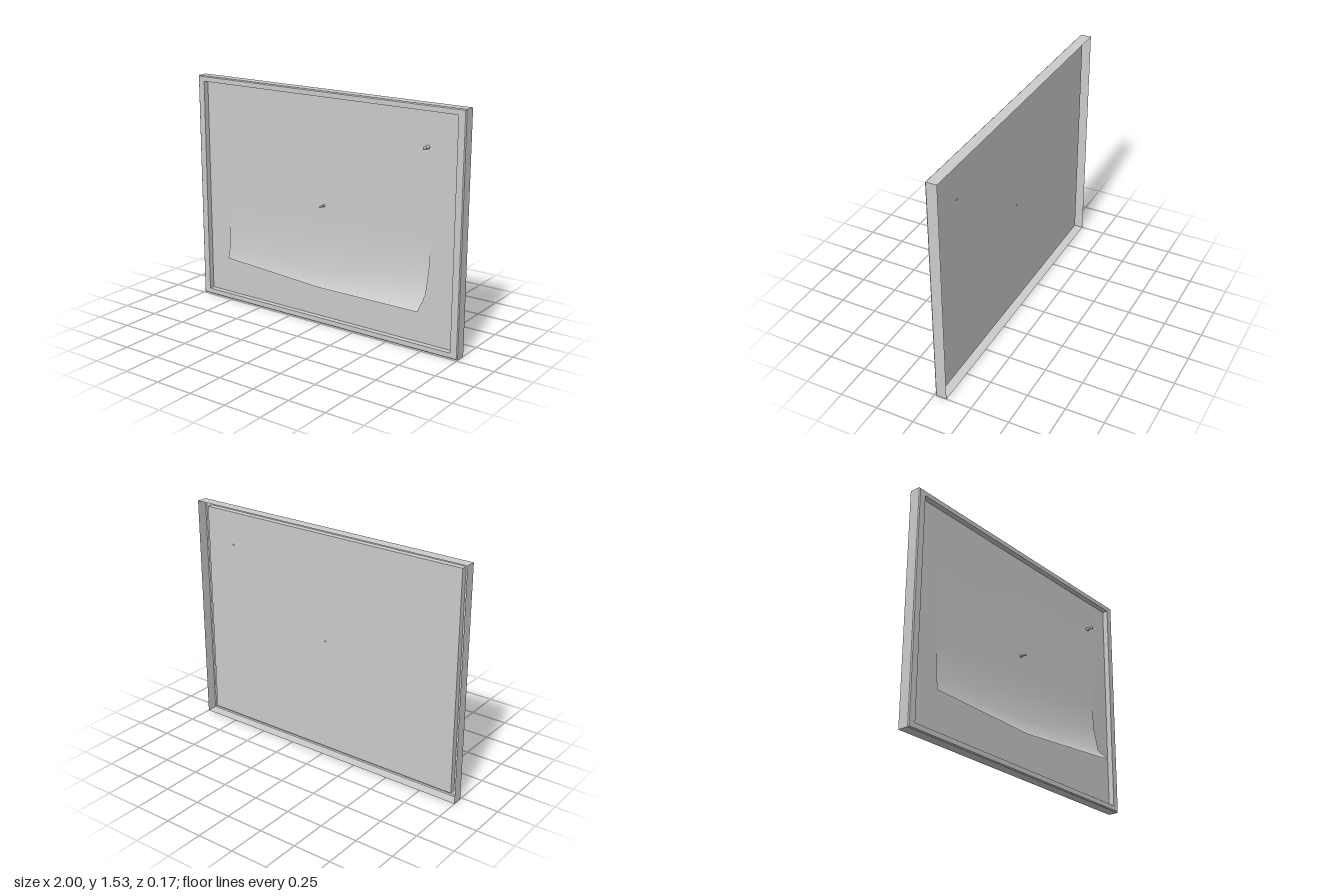
import * as THREE from 'three';

const W = 1, H = 1.526, PANEL_Z = -0.045;

function material() {
  return new THREE.MeshStandardMaterial({ color: 0xcccccc, side: THREE.DoubleSide });
}

// Open-backed shell made of nested rectangles: [inset x, inset y, z]
function rectangleShell(profile) {
  const corners = ([ix, iy, z]) => [
    [-W + ix, iy, z], [W - ix, iy, z], [W - ix, H - iy, z], [-W + ix, H - iy, z],
  ];
  const pos = [];
  for (let i = 0; i < profile.length - 1; i++) {
    const a = corners(profile[i]), b = corners(profile[i + 1]);
    for (let k = 0; k < 4; k++) {
      const n = (k + 1) % 4;
      pos.push(...a[k], ...a[n], ...b[n], ...a[k], ...b[n], ...b[k]);
    }
  }
  const g = new THREE.BufferGeometry();
  g.setAttribute('position', new THREE.Float32BufferAttribute(pos, 3));
  g.computeVertexNormals();
  return g;
}

// Sheet pinned to the panel, its lower edge lifting most at the model's left corner
function sheetGeometry() {
  const columns = [
    { x: [-0.775, -0.775, -0.775, -0.777, -0.78], y: [1.318, 0.72, 0.54, 0.38, 0.29], lift: [0, 0, 0.003, 0.013, 0.029] },
    { x: [0, 0, 0, 0, 0], y: [1.318, 0.72, 0.53, 0.36, 0.253], lift: [0, 0, 0.005, 0.024, 0.054] },
    { x: [0.778, 0.778, 0.778, 0.775, 0.77], y: [1.318, 0.72, 0.535, 0.372, 0.288], lift: [0, 0, 0.01, 0.042, 0.125] },
  ];
  const g = new THREE.PlaneGeometry(1, 1, 2, 4);
  const p = g.attributes.position;
  for (let row = 0; row < 5; row++) {
    columns.forEach((c, col) => {
      p.setXYZ(row * 3 + col, c.x[row], c.y[row], PANEL_Z + 0.003 + c.lift[row]);
    });
  }
  g.computeVertexNormals();
  return g;
}

// Round-headed pin whose tip just pokes through the panel
function pin(name, x, y, r) {
  const profile = [
    [0, -0.006], [r * 0.35, -0.004], [r * 0.35, 0.004], [r, 0.006], [r, 0.01],
    [r * 0.55, 0.016], [r * 0.5, 0.034], [r * 0.85, 0.04], [r * 0.8, 0.047], [0, 0.05],
  ].map(([a, b]) => new THREE.Vector2(a, b));
  const m = new THREE.Mesh(new THREE.LatheGeometry(profile, 16), material());
  m.rotation.x = Math.PI / 2;
  m.position.set(x, y, PANEL_Z);
  m.name = name;
  return m;
}

export function createModel() {
  const group = new THREE.Group();
  group.name = 'noticeBoard';
  const add = (name, geometry) => {
    const m = new THREE.Mesh(geometry, material());
    m.name = name;
    group.add(m);
    return m;
  };

  // Frame: outer wall, small bevel, front lip and inner wall
  add('frame', rectangleShell([
    [0, 0, -0.083], [0, 0, -0.014], [0.006, 0.006, -0.008],
    [0.05, 0.037, -0.008], [0.05, 0.037, PANEL_Z],
  ]));

  // Recessed backing panel
  const panel = add('panel', new THREE.PlaneGeometry(2 * (W - 0.05), H - 0.074));
  panel.position.set(0, H / 2, PANEL_Z);

  add('sheet', sheetGeometry());
  group.add(pin('cornerPin', 0.74, 1.27, 0.013), pin('centrePin', 0, 0.79, 0.009));
  return group;
}
